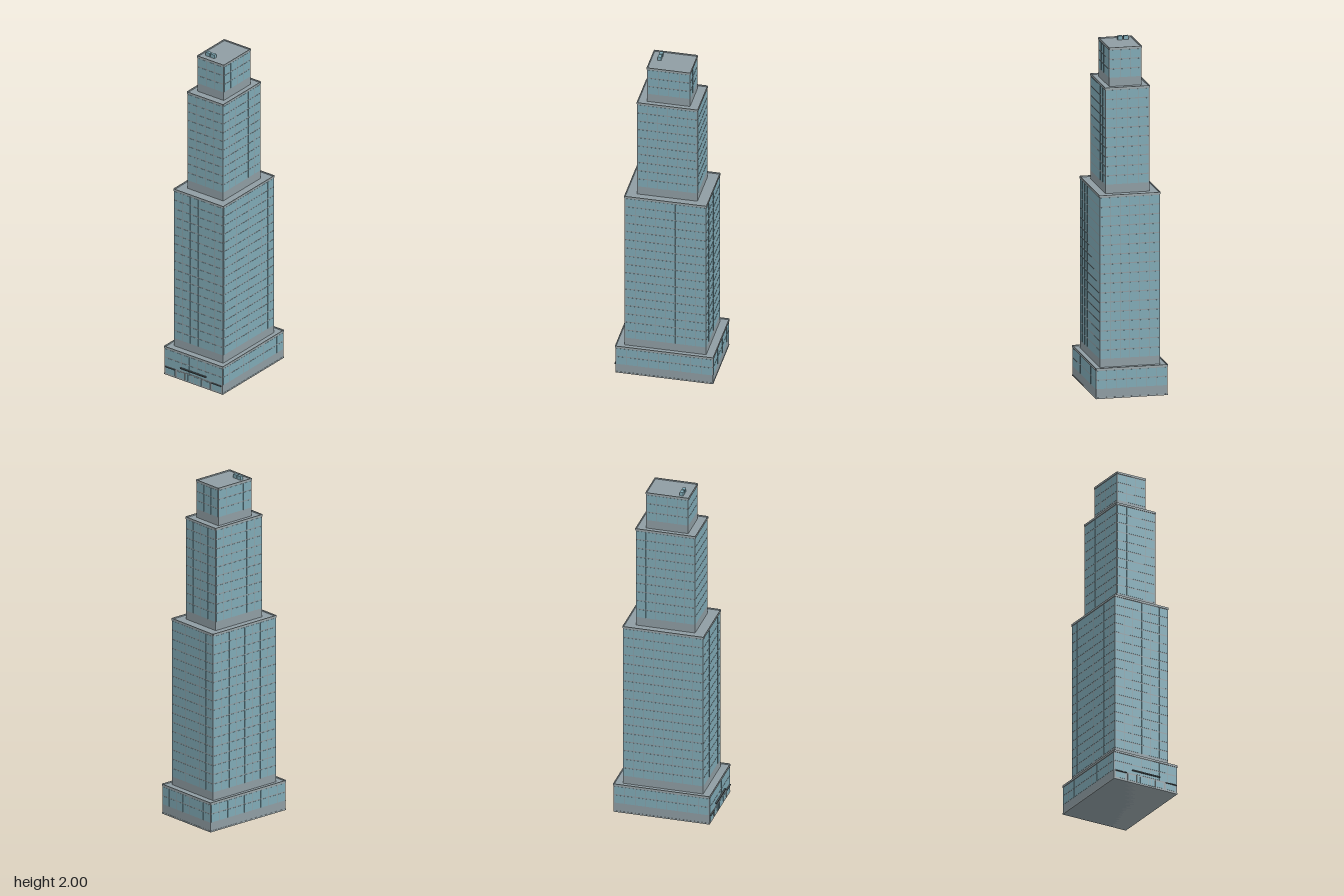
import * as THREE from 'three';
import { mergeGeometries } from 'three/addons/utils/BufferGeometryUtils.js';

const wallMat = new THREE.MeshStandardMaterial({ color: 0x8f9da3 });
const glassMat = new THREE.MeshStandardMaterial({ color: 0x80aab6 });
const trimMat = new THREE.MeshStandardMaterial({ color: 0x9aa6aa });
const darkMat = new THREE.MeshStandardMaterial({ color: 0x4c565a });

const CZ = -0.005; // centre of the tower in z
const FLOOR = 0.055; // storey height
const LIP = 0.0035; // parapet thickness
const RIM = 0.012; // parapet height

const boxGeo = (w, h, d, x, y, z) => new THREE.BoxGeometry(w, h, d).translate(x, y, z);

function addMesh(parent, name, geos, mat) {
  const mesh = new THREE.Mesh(mergeGeometries(geos), mat);
  mesh.name = name;
  parent.add(mesh);
}

// Rows of glass on all four faces, counted down from the roof
function windowPanes(hx, hz, y0, y1) {
  const geos = [];
  const proud = 0.001;
  const gap = 0.003;
  const paneH = FLOOR - 0.007;
  const nx = Math.round((2 * hx) / 0.06);
  const nz = Math.round((2 * hz) / 0.06);
  for (let top = y1 - RIM - 0.004; top - paneH > y0 + 0.015; top -= FLOOR) {
    const y = top - paneH / 2;
    for (const s of [-1, 1]) {
      const px = (2 * hx - 0.006) / nx;
      for (let i = 0; i < nx; i++) {
        geos.push(boxGeo(px - gap, paneH, proud * 2, (i - (nx - 1) / 2) * px, y, CZ + s * hz));
      }
      const pz = (2 * hz - 0.006) / nz;
      for (let i = 0; i < nz; i++) {
        geos.push(boxGeo(proud * 2, paneH, pz - gap, s * hx, y, CZ + (i - (nz - 1) / 2) * pz));
      }
    }
  }
  return geos;
}

// One setback block: walls, glass and a parapet of four strips
function makeTier(name, hx, hz, y0, y1) {
  const tier = new THREE.Group();
  tier.name = name;
  const roofY = y1 - 0.007;
  addMesh(tier, 'walls', [boxGeo(2 * hx, roofY - y0, 2 * hz, 0, (roofY + y0) / 2, CZ)], wallMat);
  addMesh(tier, 'windows', windowPanes(hx, hz, y0, y1), glassMat);
  const rim = [];
  for (const s of [-1, 1]) {
    rim.push(boxGeo(2 * hx, RIM, LIP * 1.4, 0, y1 - RIM / 2, CZ + s * (hz + LIP * 0.3)));
    rim.push(boxGeo(LIP * 1.4, RIM, 2 * hz, s * (hx + LIP * 0.3), y1 - RIM / 2, CZ));
  }
  addMesh(tier, 'parapet', rim, trimMat);
  return tier;
}

// Street front: shop windows, doors, awnings and canopy
function makeStreetFront(z) {
  const front = new THREE.Group();
  front.name = 'streetFront';
  const frames = [];
  const panes = [];
  const awnings = [];
  for (const s of [-1, 1]) {
    for (const [x, w] of [[0.163, 0.07], [0.09, 0.056]]) {
      frames.push(boxGeo(w, 0.042, 0.003, s * x, 0.029, z));
      panes.push(boxGeo(w - 0.008, 0.034, 0.004, s * x, 0.029, z + 0.0005));
    }
    awnings.push(boxGeo(0.07, 0.003, 0.009, s * 0.163, 0.051, z + 0.004));
  }
  frames.push(boxGeo(0.118, 0.046, 0.004, 0, 0.031, z));
  for (let i = 0; i < 6; i++) {
    panes.push(boxGeo(0.0165, 0.04, 0.005, (i - 2.5) * 0.019, 0.029, z + 0.0005));
  }
  awnings.push(boxGeo(0.18, 0.006, 0.01, 0, 0.076, z + 0.005));
  addMesh(front, 'shopFrames', frames, trimMat);
  addMesh(front, 'shopGlass', panes, glassMat);
  addMesh(front, 'awningsAndCanopy', awnings, darkMat);
  return front;
}

export function createModel() {
  const model = new THREE.Group();
  model.name = 'tower';

  // Four stacked blocks: half width, half depth, bottom, top
  const tiers = [
    ['podium', 0.2055, 0.2795, 0, 0.177],
    ['lowerShaft', 0.174, 0.234, 0.165, 1.163],
    ['upperShaft', 0.1265, 0.173, 1.15, 1.767],
    ['crown', 0.0925, 0.123, 1.755, 1.985],
  ];
  for (const t of tiers) model.add(makeTier(...t));

  // Plinth around the foot
  addMesh(model, 'plinth', [boxGeo(0.414, 0.008, 0.562, 0, 0.004, CZ)], trimMat);
  model.add(makeStreetFront(CZ + 0.2795));

  // Rooftop cooling units
  const units = [-0.051, -0.017].map((x) => boxGeo(0.027, 0.022, 0.02, x, 1.989, 0.07));
  addMesh(model, 'coolingUnits', units, glassMat);

  return model;
}
